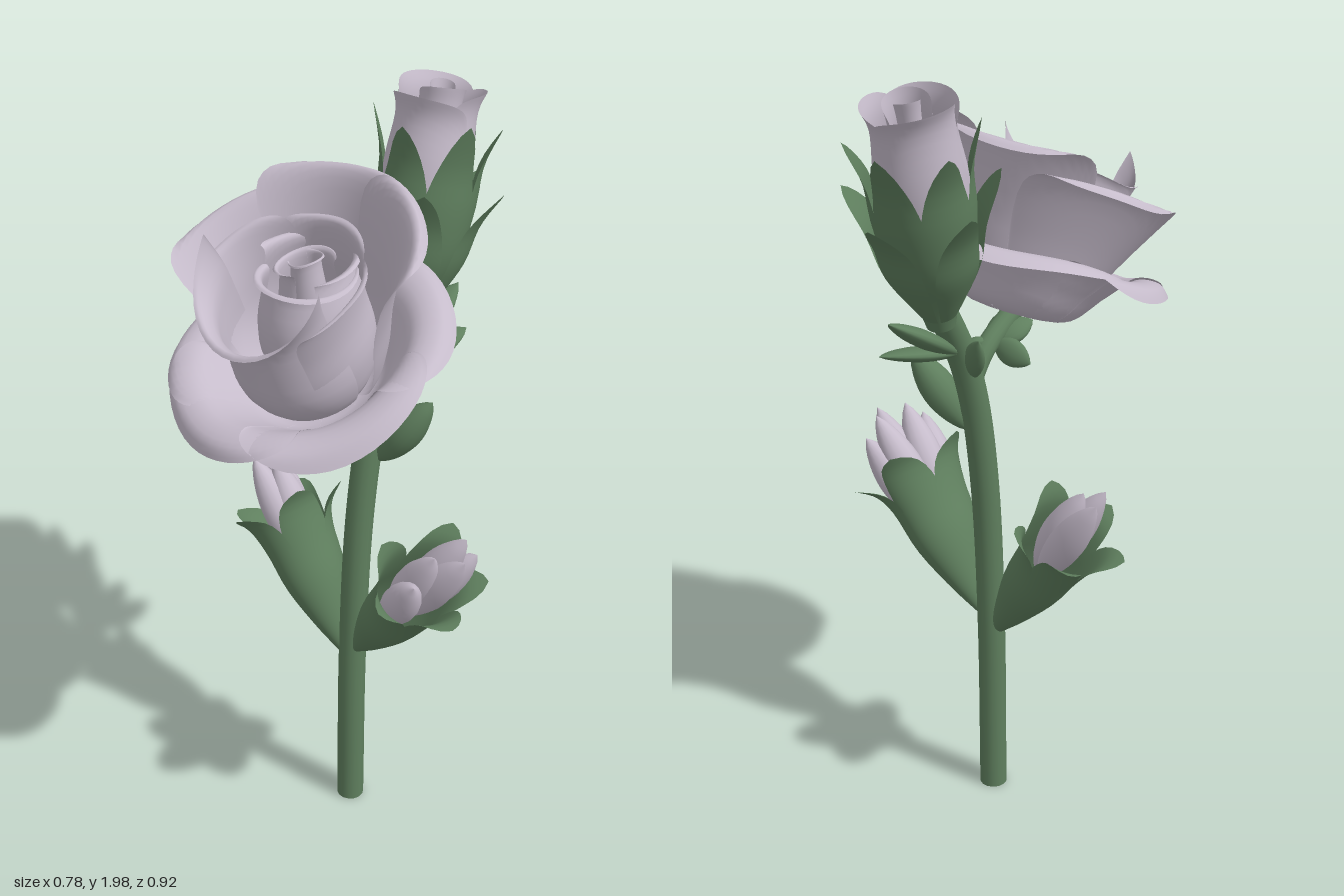
import * as THREE from 'three';

const petalMat = new THREE.MeshStandardMaterial({ color: 0xc6bccb, side: THREE.DoubleSide });
petalMat.name = 'pale lilac';
const greenMat = new THREE.MeshStandardMaterial({ color: 0x5f7f5e, side: THREE.DoubleSide });
greenMat.name = 'leaf green';
const V = (x, y, z) => new THREE.Vector3(x, y, z);

// Curved patch swept around y: a = facing angle from +z, w = half angle, prof = [radius, height] points,
// drop = how far the rounded rim falls at its corners
function petal(name, mat, { a, w, prof, drop = 0.4, lift = 0, ripple = 0, shape = () => 1 }) {
  const nu = 28, nv = 18, pos = [], idx = [];
  const curve = new THREE.SplineCurve(prof.map(p => new THREE.Vector2(...p)));
  for (let j = 0; j <= nv; j++) {
    for (let i = 0; i <= nu; i++) {
      const v = j / nv, u = Math.sin(((i / nu) - 0.5) * Math.PI);
      const p = curve.getPoint(v * (1 - drop * (1 - Math.sqrt(Math.max(0, 1 - u * u)))));
      const ang = a + w * shape(v) * u;
      const y = p.y + v * v * (lift * u * u + ripple * Math.sin(4 * u + a * 5));
      pos.push(p.x * Math.sin(ang), y, p.x * Math.cos(ang));
      if (i < nu && j < nv) {
        const k = j * (nu + 1) + i, m = k + nu + 1;
        idx.push(k, k + 1, m, k + 1, m + 1, m);
      }
    }
  }
  const g = new THREE.BufferGeometry();
  g.setAttribute('position', new THREE.Float32BufferAttribute(pos, 3));
  g.setIndex(idx);
  g.computeVertexNormals();
  const mesh = new THREE.Mesh(g, mat);
  mesh.name = name;
  return mesh;
}

// Pointed almond solid from p to q, flattened across its thickness
function almond(name, mat, p, q, width, thick) {
  const dir = q.clone().sub(p), len = dir.length();
  const pts = [];
  for (let i = 0; i <= 14; i++) {
    const t = i / 14;
    pts.push(new THREE.Vector2(Math.sin(Math.PI * t) ** 0.75 + 0.001, t * len));
  }
  const mesh = new THREE.Mesh(new THREE.LatheGeometry(pts, 16).scale(width, 1, thick), mat);
  mesh.position.copy(p);
  mesh.quaternion.setFromUnitVectors(V(0, 1, 0), dir.normalize());
  mesh.name = name;
  return mesh;
}

function tube(name, points, r) {
  const mesh = new THREE.Mesh(new THREE.TubeGeometry(new THREE.CatmullRomCurve3(points), 40, r, 14), greenMat);
  mesh.name = name;
  return mesh;
}

function aimed(name, from, to) {
  const g = new THREE.Group();
  g.name = name;
  g.position.copy(from);
  g.quaternion.setFromUnitVectors(V(0, 1, 0), to.clone().sub(from).normalize());
  return g;
}

// Joined at the base, tapering to a point above `start`
const pointed = start => v => v < start ? 1 : 1 - ((v - start) / (1 - start)) ** 1.8;

// Calyx is an oval, wider along z by `oval`; buds = [x, z, length] of each petal tip
function sideBud(name, from, to, oval, buds, fat) {
  const g = aimed(name, from, to);
  const calyx = new THREE.Group();
  calyx.name = 'calyx';
  calyx.scale.z = oval;
  for (let i = 0; i < 5; i++) {
    const k = 1 + 0.05 * Math.sin(i * 2.3);
    calyx.add(petal('sepal', greenMat, {
      a: i * Math.PI * 0.4 + 0.05, w: 0.7, drop: 0, shape: pointed(0.58),
      prof: [[0.012, 0], [0.045, 0.1], [0.075, 0.22], [0.086, 0.33], [0.105, 0.41 * k], [0.142, 0.45 * k]],
    }));
  }
  g.add(calyx);
  buds.forEach(([x, z, len]) => g.add(almond('budPetal', petalMat,
    V(x * 0.4, 0.26, z * 0.35), V(x, len, z), fat, fat)));
  return g;
}

function rose() {
  const g = new THREE.Group();
  g.name = 'rose';
  const head = new THREE.Group();
  head.name = 'openPetals';
  head.position.set(-0.01, 1.335, 0.11);
  head.rotation.x = 0.42;
  // Lower petals curling outward
  [-0.2, 1.1, 2.4, 3.75, 5.0].forEach((a, i) => head.add(petal('outerPetal', petalMat, {
    a, w: 0.9, drop: 0.4, ripple: 0.012,
    prof: [[0.01, 0], [0.13, 0.015], [0.2, 0.09], [0.26, 0.15], [0.32, 0.155], [0.35 + 0.01 * (i % 2), 0.125]],
  })));
  // Three tall rounded lobes around the back
  [[2.45, 0.36, 0.42, 0.75], [3.4, 0.37, 0.395, 0.75], [4.25, 0.37, 0.34, 0.75]].forEach(([a, r, h, w]) =>
    head.add(petal('middlePetal', petalMat, {
      a, w, drop: 0.55, ripple: 0.006,
      prof: [[0.01, 0.01], [0.13, 0.03], [0.19, 0.12], [0.24, h * 0.6], [r - 0.06, h * 0.9], [r - 0.02, h], [r, h - 0.02]],
    })));
  // Front petal wrapping the heart
  head.add(petal('frontPetal', petalMat, {
    a: 0, w: 1.5, drop: 0.12, lift: 0.12,
    prof: [[0.01, 0.01], [0.12, 0.03], [0.175, 0.12], [0.17, 0.22], [0.165, 0.29], [0.185, 0.325], [0.2, 0.32]],
  }));
  // Inner side petals closing the cup
  [[1.75, 0.8], [3.1, 0.85], [4.5, 0.8]].forEach(([a, w]) => head.add(petal('innerSidePetal', petalMat, {
    a, w, drop: 0.35, ripple: 0.006,
    prof: [[0.01, 0.02], [0.12, 0.04], [0.17, 0.15], [0.18, 0.27], [0.2, 0.36], [0.22, 0.37]],
  })));
  g.add(head);
  // Furled heart
  const heart = new THREE.Group();
  heart.name = 'heart';
  heart.position.set(-0.02, 1.36, 0.12);
  heart.rotation.x = 0.12;
  [[3.0, 0.12, 0.34, 2.0], [0.6, 0.115, 0.3, 1.9], [4.6, 0.07, 0.32, 2.1], [1.6, 0.04, 0.34, 2.3]]
    .forEach(([a, r, h, w]) => heart.add(petal('innerPetal', petalMat, {
      a, w, drop: 0.25, ripple: 0.008,
      prof: [[0.01, 0], [r, 0.08], [r * 1.1, h * 0.6], [r * 0.9, h * 0.93], [r, h], [r * 1.1, h - 0.005]],
    })));
  g.add(heart);
  // Small leaves beneath the flower
  const base = V(-0.01, 1.29, 0.03);
  [[-0.11, 1.25, 0.05], [0.03, 1.33, 0.13], [-0.06, 1.33, 0.12], [0.04, 1.28, -0.04]]
    .forEach(p => g.add(almond('roseSepal', greenMat, base, V(...p), 0.035, 0.018)));
  return g;
}

function topBud() {
  const g = aimed('topBud', V(-0.02, 1.4, -0.17), V(-0.045, 1.95, -0.3));
  // Tall inner sepals, then shorter flared ones
  for (let i = 0; i < 6; i++) {
    g.add(petal('sepal', greenMat, {
      a: i * Math.PI / 3 + 0.2, w: 0.64, drop: 0, shape: pointed(0.5),
      prof: [[0.035, 0], [0.055, 0.08], [0.1, 0.18], [0.12, 0.3], [0.125, 0.41], [0.155, 0.5 + 0.02 * (i % 2)]],
    }));
  }
  for (let i = 0; i < 5; i++) {
    g.add(petal('flaredSepal', greenMat, {
      a: i * Math.PI * 0.4 + 0.7, w: 0.55, drop: 0, shape: pointed(0.45),
      prof: [[0.035, 0.02], [0.07, 0.08], [0.115, 0.17], [0.14, 0.27], [0.19, 0.36]],
    }));
  }
  // Furled petals, the back ones standing taller to level the top
  [[0.2, 0.112, 0.565, 1.3], [2.2, 0.1, 0.58, 1.2], [4.2, 0.108, 0.59, 1.3], [1, 0.055, 0.585, 2], [4, 0.03, 0.59, 2.2]]
    .forEach(([a, r, h, w]) => g.add(petal('budPetal', petalMat, {
      a, w, drop: 0.3, prof: [[0.02, 0.12], [r * 0.9, 0.24], [r, 0.38], [r * 0.9, h - 0.06], [r * 1.05, h]],
    })));
  return g;
}

export function createModel() {
  const model = new THREE.Group();
  model.name = 'roseStem';
  model.add(tube('stem', [V(-0.01, 0, 0.035), V(-0.01, 0.5, 0.025), V(-0.01, 0.9, 0), V(-0.01, 1.15, -0.04),
    V(-0.01, 1.3, -0.09), V(-0.02, 1.46, -0.185)], 0.036));
  const cap = new THREE.Mesh(new THREE.CircleGeometry(0.036, 14).rotateX(Math.PI / 2), greenMat);
  cap.name = 'stemEnd';
  cap.position.set(-0.01, 0.001, 0.035);
  model.add(cap);
  model.add(tube('roseStalk', [V(-0.01, 1.2, -0.06), V(-0.01, 1.28, 0), V(-0.01, 1.35, 0.11)], 0.026));
  model.add(rose(), topBud());
  model.add(sideBud('rightBud', V(-0.02, 0.48, 0.03), V(-0.27, 0.86, 0.03), 1.15,
    [[0.01, 0.04, 0.58], [-0.015, -0.04, 0.6], [0.04, 0, 0.56]], 0.045));
  model.add(sideBud('leftBud', V(0.015, 0.52, 0.03), V(0.265, 0.87, 0.035), 1.3,
    [[0.01, 0.12, 0.54], [-0.02, 0.05, 0.58], [0.03, 0, 0.6], [-0.02, -0.06, 0.58], [0.02, -0.09, 0.54]], 0.047));
  // Leaves along the upper stem
  [[V(0.01, 1.07, -0.04), V(0.14, 1.27, -0.1), 0.045, 0.045],
    [V(-0.01, 1.3, -0.1), V(-0.01, 1.45, -0.34), 0.05, 0.022],
    [V(-0.01, 1.3, -0.08), V(0.04, 1.35, -0.32), 0.05, 0.018],
    [V(-0.01, 1.22, -0.06), V(-0.09, 1.36, -0.12), 0.03, 0.02]]
    .forEach(([p, q, w, t]) => model.add(almond('leaf', greenMat, p, q, w, t)));
  return model;
}
